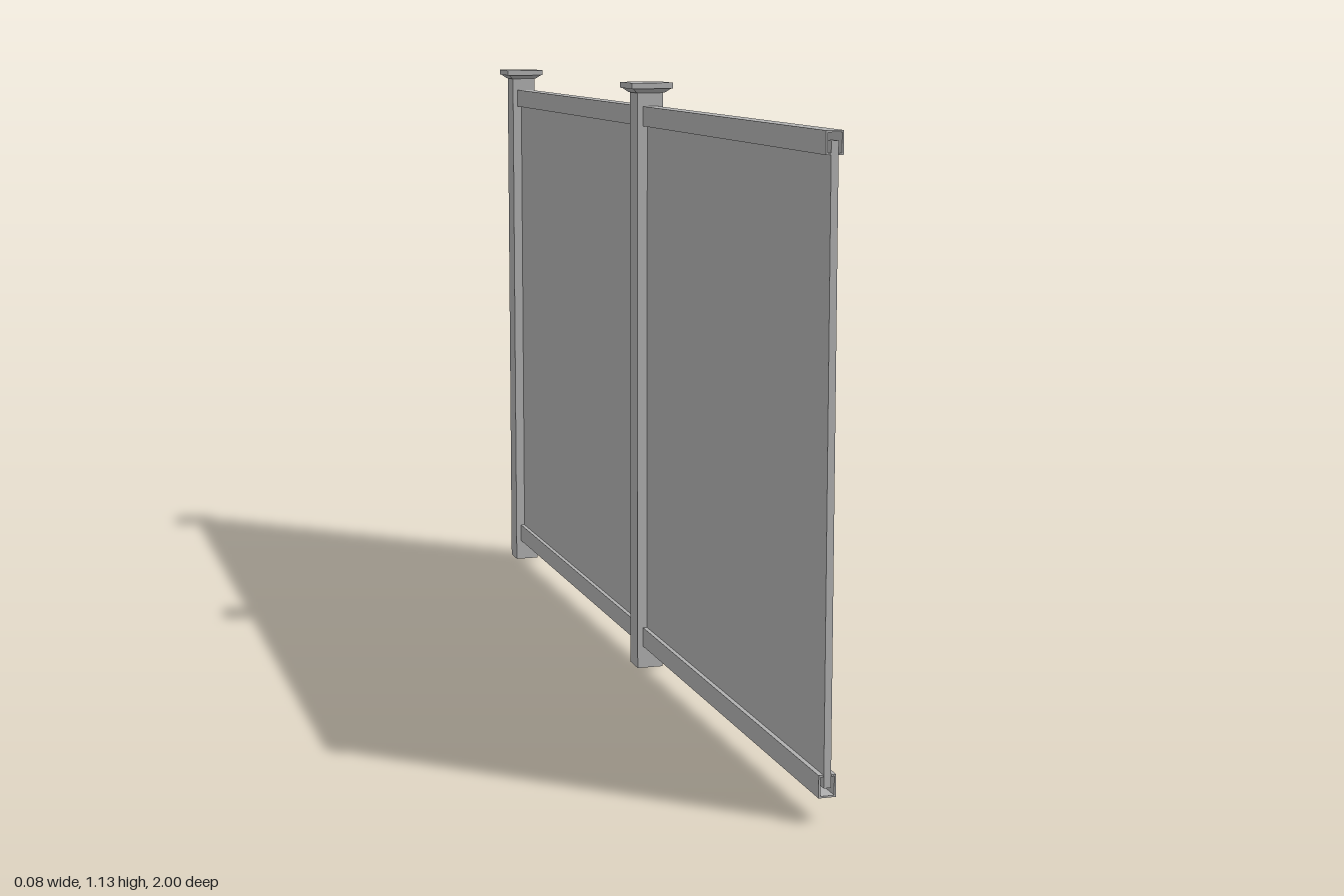
import * as THREE from 'three';

const grey = new THREE.MeshStandardMaterial({ color: 0xb0b0b0 });
grey.name = 'grey';

function part(name, geometry, parent) {
  const mesh = new THREE.Mesh(geometry, grey);
  mesh.name = name;
  parent.add(mesh);
  return mesh;
}

function polygon(points) {
  return points.map(([x, y]) => new THREE.Vector2(x, y));
}

function square(h) {
  return polygon([[-h, -h], [h, -h], [h, h], [-h, h]]);
}

function extrude(shape, depth) {
  return new THREE.ExtrudeGeometry(shape, { depth, bevelEnabled: false });
}

// Hollow square post with a flat cap on a tapered collar
function makePost(z) {
  const post = new THREE.Group();
  post.name = 'post';
  post.position.z = z;

  const section = new THREE.Shape(square(0.025));
  section.holes.push(new THREE.Path(square(0.0225)));
  part('postShaft', extrude(section, 1.112).rotateX(-Math.PI / 2), post);

  const r = Math.SQRT2;
  const collar = new THREE.CylinderGeometry(0.037 * r, 0.027 * r, 0.008, 4, 1).toNonIndexed();
  collar.rotateY(Math.PI / 4).translate(0, 1.113, 0);
  collar.computeVertexNormals();
  part('capCollar', collar, post);
  part('capSlab', new THREE.BoxGeometry(0.08, 0.011, 0.08).translate(0, 1.1225, 0), post);
  return post;
}

// Hollow rail section with a slot that holds the panel
function railGeometry(length) {
  const w = 0.0145, h = 0.037, t = 0.003, s = 0.0065;
  const section = new THREE.Shape(polygon([
    [-w, 0], [-s, 0], [-s, t], [-w + t, t], [-w + t, h - t],
    [w - t, h - t], [w - t, t], [s, t], [s, 0], [w, 0], [w, h], [-w, h],
  ]));
  return extrude(section, length);
}

// One bay: infill panel between a top and a bottom rail
function makeBay(z0, z1) {
  const bay = new THREE.Group();
  bay.name = 'bay';
  const length = z1 - z0;

  const topRail = part('topRail', railGeometry(length), bay);
  topRail.position.set(0, 1.047, z0);

  const bottomRail = part('bottomRail', railGeometry(length), bay);
  bottomRail.rotation.z = Math.PI;
  bottomRail.position.set(0, 0.08, z0);

  const panel = part('panel', new THREE.BoxGeometry(0.012, 1.01, length), bay);
  panel.position.set(0, 0.5635, (z0 + z1) / 2);
  return bay;
}

export function createModel() {
  const fence = new THREE.Group();
  fence.name = 'fence';
  const postZ = [-0.96, 0.0225];
  const bayEnd = [0, 1];
  postZ.forEach((z, i) => {
    fence.add(makePost(z), makeBay(z + 0.0235, bayEnd[i]));
  });
  return fence;
}
